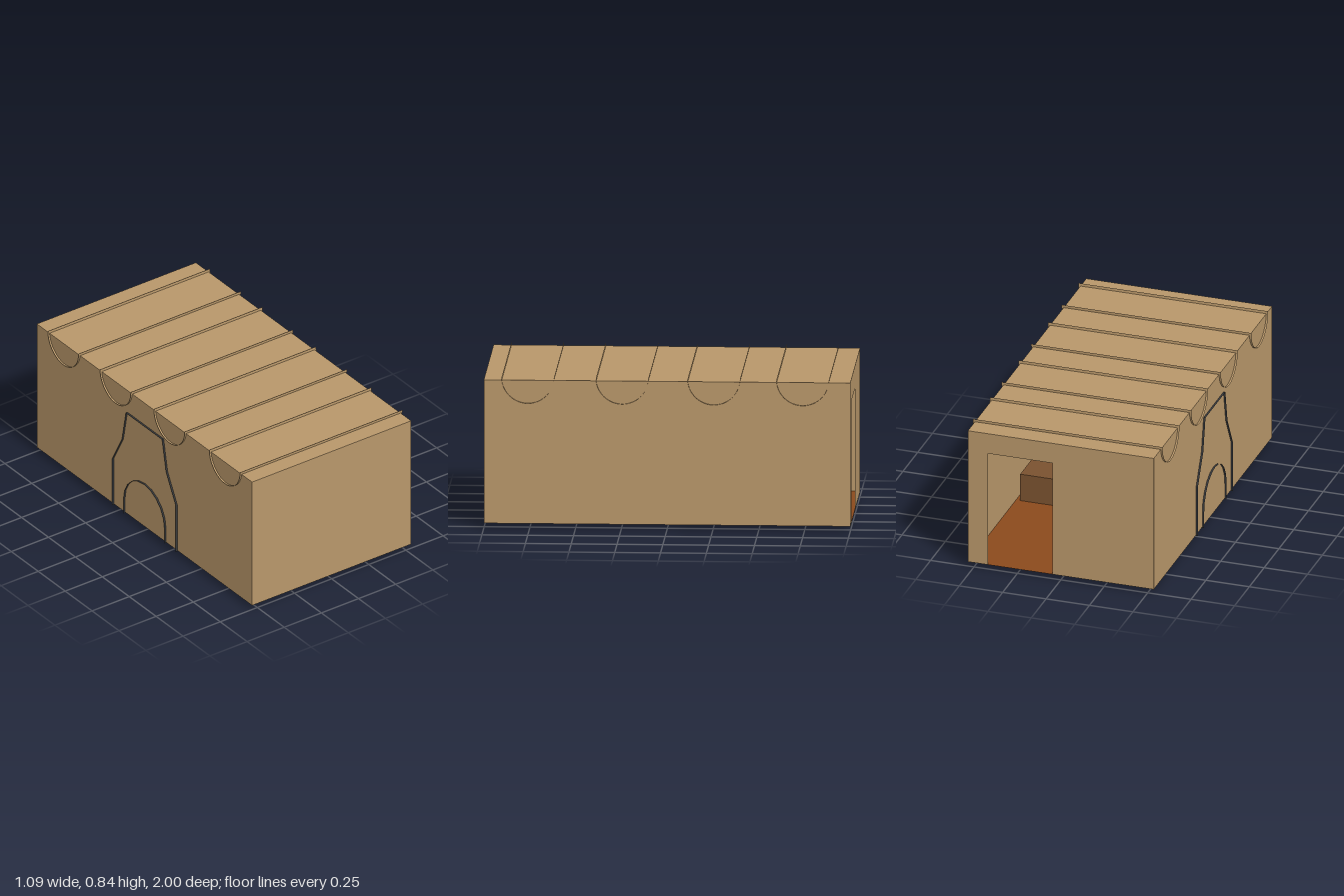
import * as THREE from 'three';

const make = (name, color) => {
  const m = new THREE.MeshStandardMaterial({ color, side: THREE.DoubleSide });
  m.name = name;
  return m;
};

export function createModel() {
  const plaster = make('tan plaster', 0xb8976a);
  const floorWood = make('floor wood', 0x8b4a1c);
  const stone = make('dark stone', 0x36383b);
  const wood = make('barrel wood', 0x7a5230);

  const room = new THREE.Group();
  room.name = 'room';
  const W = 0.535, D = 1, Y0 = 0.026, Y1 = 0.82, H = Y1 - Y0, YM = (Y0 + Y1) / 2;

  const add = (name, geo, mat, x = 0, y = 0, z = 0, parent = room) => {
    const mesh = new THREE.Mesh(geo, mat);
    mesh.name = name;
    mesh.position.set(x, y, z);
    parent.add(mesh);
    return mesh;
  };

  // Ruled surface between two rows of [x, y, z] points, flat on each panel
  const strip = (a, b) => {
    const pos = [];
    for (let i = 0; i < a.length - 1; i++) {
      pos.push(...a[i], ...b[i], ...b[i + 1], ...a[i], ...b[i + 1], ...a[i + 1]);
    }
    const g = new THREE.BufferGeometry();
    g.setAttribute('position', new THREE.Float32BufferAttribute(pos, 3));
    g.computeVertexNormals();
    return g;
  };

  // Thin walls, floor and ceiling
  add('floor', new THREE.PlaneGeometry(2 * W, 2 * D).rotateX(-Math.PI / 2), floorWood, 0, Y0, 0);
  add('ceiling', new THREE.PlaneGeometry(2 * W, 2 * D).rotateX(-Math.PI / 2), plaster, 0, Y1, 0);
  add('frontWall', new THREE.PlaneGeometry(2 * W, H), plaster, 0, YM, D);
  for (const s of [-1, 1]) {
    add(s > 0 ? 'leftWall' : 'rightWall',
      new THREE.PlaneGeometry(2 * D, H).rotateY(s * Math.PI / 2), plaster, s * W, YM, 0);
  }

  // Back wall with an open doorway
  const back = new THREE.Shape([
    [-W, Y0], [0.047, Y0], [0.047, 0.7], [0.42, 0.7], [0.42, Y0], [W, Y0], [W, Y1], [-W, Y1],
  ].map(([x, y]) => new THREE.Vector2(-x, y)));
  add('backWall', new THREE.ShapeGeometry(back).rotateY(Math.PI), plaster, 0, 0, -D);

  // Half-round ceiling beams, poking through the side walls and roof
  const beam = new THREE.CylinderGeometry(0.143, 0.143, 1.092, 24, 1, true, Math.PI, Math.PI)
    .rotateZ(Math.PI / 2);
  for (const z of [-0.74, -0.255, 0.245, 0.76]) add('ceilingBeam', beam, plaster, 0, 0.836, z);

  // Fireplace: open shell with tapering hood and arched mouth
  const fireplace = new THREE.Group();
  fireplace.name = 'fireplace';
  room.add(fireplace);
  const XB = -0.546, XF = -0.27, ZC = 0.01, YB = 0.021;
  const side = [[0.295, YB, XF], [0.295, 0.32, XF], [0.205, 0.49, -0.4], [0.168, 0.68, -0.46]];
  const row = (s, rear) => side.map(([z, y, x]) => [rear ? XB : x, y, ZC + s * z]);
  const loop = (rear) => [...row(-1, rear), ...row(1, rear).reverse()];
  add('hoodSides', strip(loop(true), loop(false)), stone, 0, 0, 0, fireplace);
  add('hoodFront', strip(row(1, false).slice(1), row(-1, false).slice(1)), stone, 0, 0, 0, fireplace);

  const R = 0.19, SPRING = 0.115;
  const arch = [[R, YB]];
  for (let i = 0; i <= 10; i++) {
    const t = (i / 10) * Math.PI;
    arch.push([R * Math.cos(t), SPRING + R * Math.sin(t)]);
  }
  arch.push([-R, YB]);
  const archRow = (x) => arch.map(([z, y]) => [x, y, ZC + z]);
  add('archLining', strip(archRow(XB), archRow(XF)), stone, 0, 0, 0, fireplace);
  const mouth = new THREE.Shape([[0.295, YB], [0.295, 0.32], [-0.295, 0.32], [-0.295, YB],
    ...arch.slice().reverse()].map(([z, y]) => new THREE.Vector2(z, y)));
  add('mouthSurround', new THREE.ShapeGeometry(mouth).rotateY(Math.PI / 2), stone, XF, 0, ZC, fireplace);

  // Hearth fender: rails, end blocks and a row of small bars
  const box = (name, x, y, z, w, h, d) =>
    add(name, new THREE.BoxGeometry(w, h, d), stone, x, y, z, fireplace);
  box('fenderRail', -0.235, 0.025, 0.005, 0.025, 0.034, 0.55);
  box('fenderRail', -0.29, 0.022, 0.005, 0.02, 0.038, 0.36);
  for (const s of [-1, 1]) box('fenderEnd', -0.27, 0.026, 0.005 + s * 0.262, 0.1, 0.032, 0.025);
  for (let i = 0; i < 7; i++) box('fenderBar', -0.258, 0.02, 0.005 + (i - 3) * 0.055, 0.08, 0.04, 0.018);

  // Barrels and small buckets in the front corner
  const tubs = [[0.067, 0.73, 0.04], [-0.133, 0.56, 0.04], [-0.096, 0.71, 0.088], [-0.3, 0.6, 0.088],
    [-0.048, 0.885, 0.07], [-0.222, 0.886, 0.09], [-0.392, 0.787, 0.09]];
  for (const [x, z, r] of tubs) {
    const h = r * 2.6;
    const profile = [[r, 0], [r * 1.12, h * 0.3], [r * 1.12, h * 0.7], [r, h], [0, h]]
      .map(([a, b]) => new THREE.Vector2(a, b));
    add(r > 0.05 ? 'barrel' : 'bucket', new THREE.LatheGeometry(profile, 20), wood, x, 0.023, z);
  }

  // Low chest along the left wall
  add('chest', new THREE.BoxGeometry(0.19, 0.16, 0.39), wood, 0.415, 0.107, 0.005);

  return room;
}
